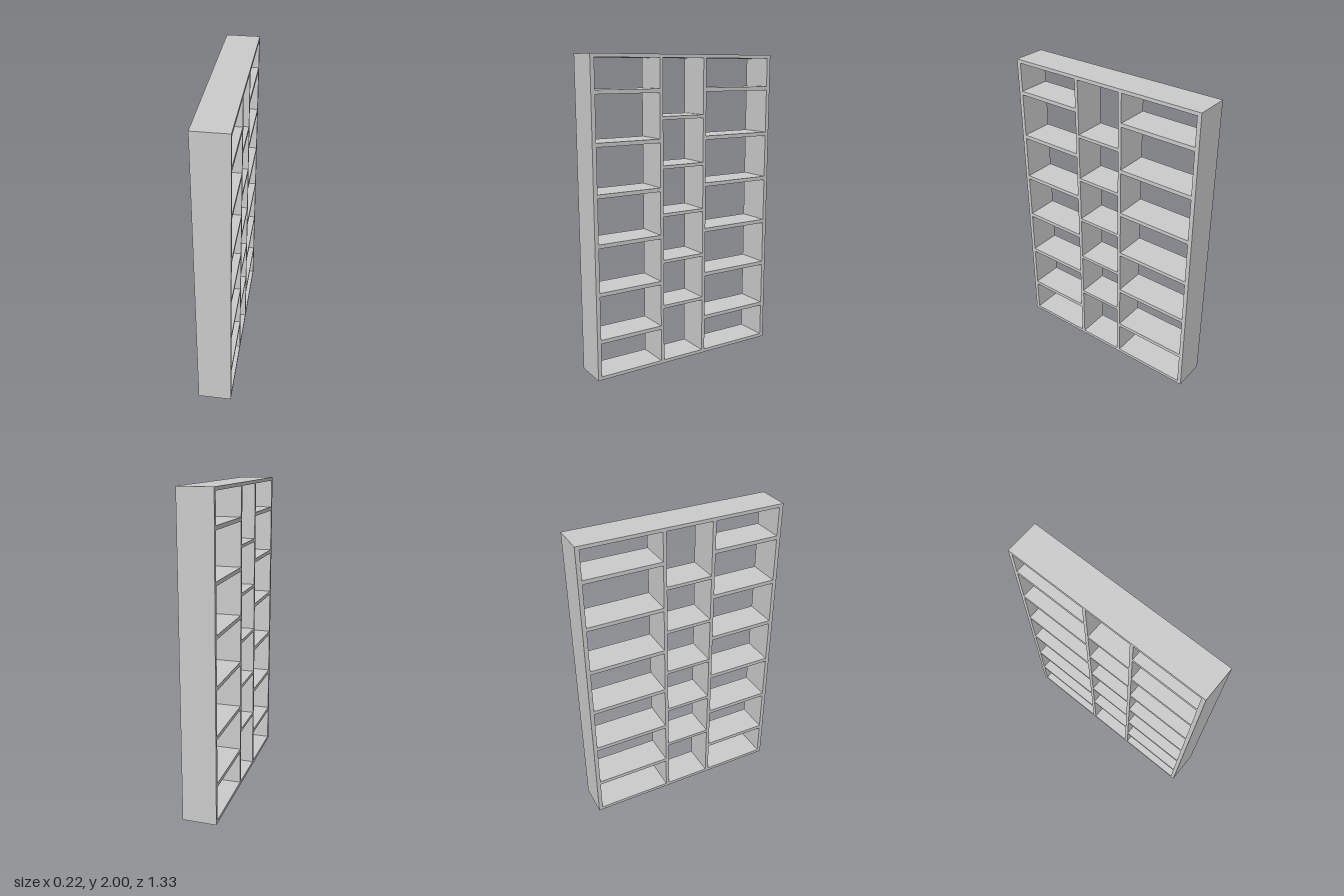
import * as THREE from 'three';

const DEPTH = 0.217; // along x, the open direction
const HALF = 0.664; // half width along z
const BOARD = 0.022;

export function createModel() {
  const group = new THREE.Group();
  const material = new THREE.MeshStandardMaterial({ color: 0xcccccc });

  // Board filling the rectangle y0..y1, z0..z1 through the full depth
  const board = (name, y0, y1, z0, z1) => {
    const mesh = new THREE.Mesh(new THREE.BoxGeometry(DEPTH, y1 - y0, z1 - z0), material);
    mesh.position.set(0, (y0 + y1) / 2, (z0 + z1) / 2);
    mesh.name = name;
    group.add(mesh);
  };

  // Outer frame
  const side = 0.026;
  board('frontSidePanel', 0, 2, HALF - side, HALF);
  board('backSidePanel', 0, 2, -HALF, -HALF + side);
  board('topPanel', 2 - BOARD, 2, -HALF + side, HALF - side);
  board('bottomPanel', 0, BOARD, -HALF + side, HALF - side);

  // Two inner uprights
  const uprights = [0.191, -0.132];
  const h = BOARD / 2;
  for (const z of uprights) board('upright', BOARD, 2 - BOARD, z - h, z + h);

  // Shelves: six in each wide column, five staggered in the narrow one
  const columns = [
    { name: 'frontShelf', z0: uprights[0] + h, z1: HALF - side, first: 0.253, count: 6, thick: 0.025 },
    { name: 'middleShelf', z0: uprights[1] + h, z1: uprights[0] - h, first: 0.392, count: 5, thick: 0.021 },
    { name: 'backShelf', z0: -HALF + side, z1: uprights[1] - h, first: 0.253, count: 6, thick: 0.025 },
  ];
  for (const { name, z0, z1, first, count, thick } of columns) {
    for (let i = 0; i < count; i++) {
      const y = first + i * 0.3058;
      board(name, y - thick / 2, y + thick / 2, z0, z1);
    }
  }
  return group;
}
